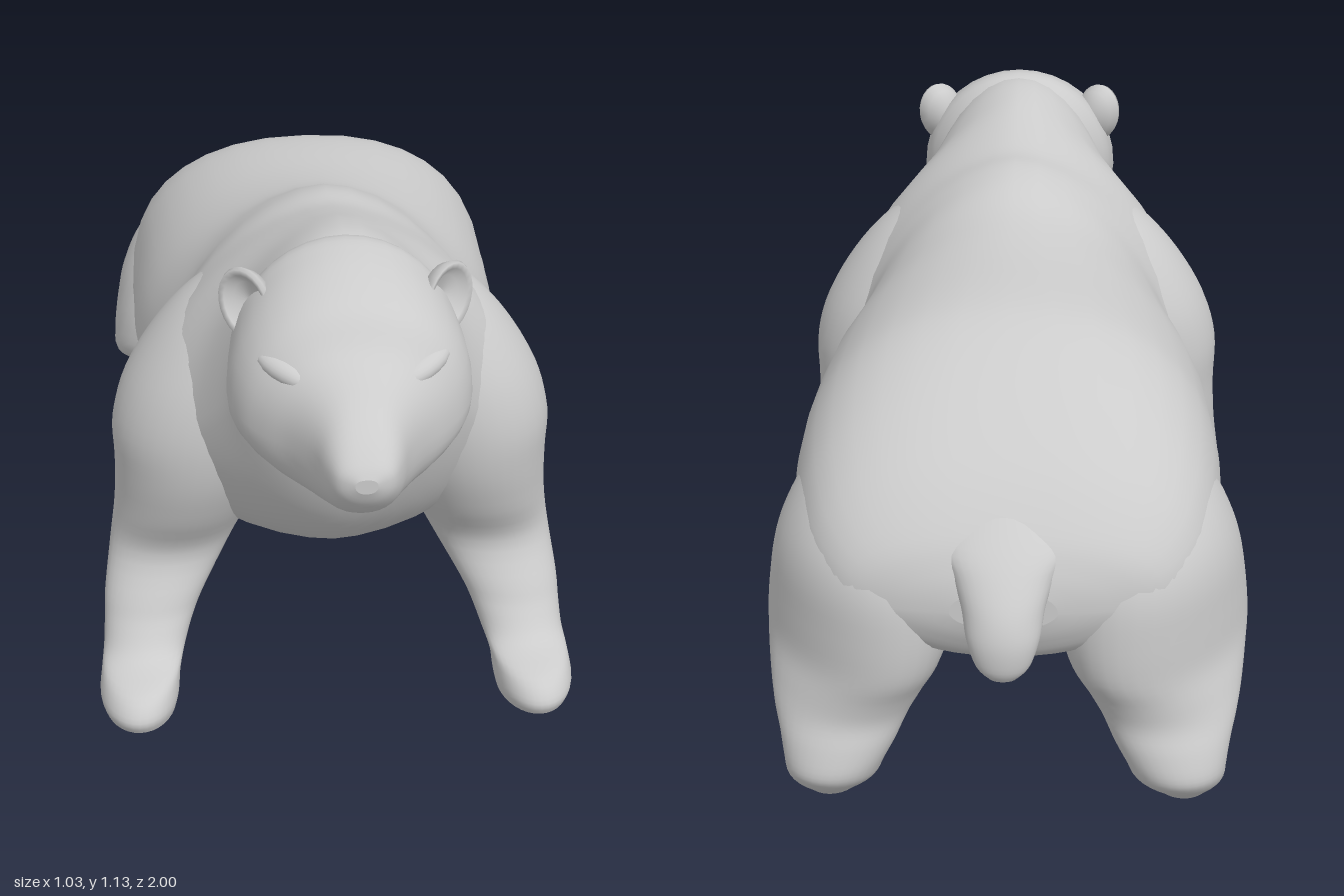
import * as THREE from 'three';

const material = new THREE.MeshStandardMaterial({ color: 0xcccccc });
const SIDES = 36, STEPS = 4;

function addMesh(parent, name, geometry) {
  const mesh = new THREE.Mesh(geometry, material);
  mesh.name = name;
  parent.add(mesh);
  return mesh;
}

// Smooth curve through rows of numbers, component by component.
function smoothRows(rows) {
  const out = [];
  const last = rows.length - 1;
  for (let i = 0; i < last; i++) {
    const a = rows[Math.max(i - 1, 0)], b = rows[i], c = rows[i + 1], d = rows[Math.min(i + 2, last)];
    for (let k = 0; k < STEPS; k++) {
      const t = k / STEPS;
      out.push(b.map((v, n) => v + 0.5 * t * (c[n] - a[n]
        + t * (2 * a[n] - 5 * v + 4 * c[n] - d[n] + t * (3 * (v - c[n]) + d[n] - a[n])))));
    }
  }
  out.push(rows[last]);
  return out;
}

// Skin over cross-sections; ring(row, cos, sin) gives a point. Flat caps close the ends.
function loft(rows, ring) {
  const sections = smoothRows(rows);
  const pos = [], index = [];
  const pushRing = (row) => {
    const start = pos.length / 3;
    for (let j = 0; j < SIDES; j++) {
      const a = (j / SIDES) * Math.PI * 2;
      pos.push(...ring(row, Math.cos(a), Math.sin(a)));
    }
    return start;
  };
  sections.forEach(pushRing);
  for (let i = 0; i < sections.length - 1; i++) {
    for (let j = 0; j < SIDES; j++) {
      const a = i * SIDES + j, b = i * SIDES + (j + 1) % SIDES;
      index.push(a, b, b + SIDES, a, b + SIDES, a + SIDES);
    }
  }
  [[sections[0], true], [sections[sections.length - 1], false]].forEach(([row, flip]) => {
    const s = pushRing(row);
    for (let j = 1; j < SIDES - 1; j++) {
      if (flip) index.push(s, s + j + 1, s + j);
      else index.push(s, s + j, s + j + 1);
    }
  });
  const g = new THREE.BufferGeometry();
  g.setAttribute('position', new THREE.Float32BufferAttribute(pos, 3));
  g.setIndex(index);
  g.computeVertexNormals();
  return g;
}

// Upright section: [z, yBottom, yTop, halfWidth, yWidest, upper power]; below 1 is boxier, above 1 is peaked
const uprightRing = (lowerPower) => ([z, y0, y1, w, ym, upperPower], c, s) => {
  const p = s > 0 ? upperPower : lowerPower;
  const h = s > 0 ? y1 - ym : ym - y0;
  return [w * Math.sign(c) * Math.abs(c) ** p, ym + h * Math.sign(s) * Math.abs(s) ** p, z];
};

// Level section: [y, zBack, zFront, xInner, xOuter, outward skew of the front], mirrored by side
const levelRing = (side) => ([y, z0, z1, xi, xo, skew], c, s) =>
  [side * ((xi + xo) / 2 - skew * s) + c * (xo - xi) / 2, y, (z0 + z1) / 2 - s * (z1 - z0) / 2];

const TORSO = [
  [-0.918, 0.49, 0.575, 0.10, 0.53, 0.9], [-0.905, 0.455, 0.615, 0.20, 0.53, 0.85],
  [-0.875, 0.41, 0.672, 0.30, 0.53, 0.8], [-0.80, 0.37, 0.757, 0.37, 0.53, 0.79],
  [-0.70, 0.33, 0.833, 0.405, 0.54, 0.8], [-0.60, 0.30, 0.892, 0.42, 0.55, 0.83],
  [-0.50, 0.28, 0.935, 0.425, 0.56, 0.87], [-0.40, 0.265, 0.955, 0.422, 0.57, 0.92],
  [-0.20, 0.23, 0.97, 0.415, 0.57, 1.02], [-0.05, 0.22, 0.995, 0.385, 0.57, 1.08],
  [0.05, 0.222, 1.035, 0.365, 0.57, 1.12], [0.12, 0.233, 1.052, 0.38, 0.58, 1.15],
  [0.20, 0.26, 1.055, 0.41, 0.59, 1.18], [0.30, 0.31, 1.08, 0.395, 0.62, 1.2],
  [0.40, 0.38, 1.11, 0.30, 0.67, 1.15], [0.48, 0.47, 1.125, 0.235, 0.75, 1.05],
  [0.535, 0.58, 1.125, 0.20, 0.82, 1], [0.56, 0.68, 1.115, 0.17, 0.88, 1],
  [0.57, 0.76, 1.10, 0.13, 0.92, 1],
];

const HEAD = [
  [0.45, 0.84, 1.07, 0.12, 0.94, 1], [0.53, 0.76, 1.128, 0.205, 0.92, 1],
  [0.60, 0.74, 1.125, 0.226, 0.89, 1], [0.68, 0.735, 1.10, 0.23, 0.87, 0.97],
  [0.74, 0.732, 1.068, 0.21, 0.86, 0.92], [0.79, 0.728, 1.015, 0.172, 0.85, 0.9],
  [0.84, 0.732, 0.985, 0.128, 0.85, 0.9], [0.90, 0.747, 0.958, 0.09, 0.85, 0.85],
  [0.95, 0.775, 0.925, 0.07, 0.85, 0.8], [0.985, 0.812, 0.892, 0.05, 0.855, 0.8],
  [1.0, 0.842, 0.87, 0.02, 0.857, 0.8],
];

const FRONT_LEG = [
  [0, 0.30, 0.545, 0.35, 0.505, 0], [0.03, 0.28, 0.555, 0.343, 0.513, 0],
  [0.07, 0.262, 0.52, 0.338, 0.508, 0], [0.10, 0.25, 0.43, 0.325, 0.503, 0],
  [0.15, 0.225, 0.385, 0.305, 0.50, 0], [0.20, 0.20, 0.36, 0.28, 0.497, 0],
  [0.30, 0.14, 0.325, 0.22, 0.482, 0], [0.40, 0.08, 0.37, 0.17, 0.468, 0],
  [0.50, 0.06, 0.405, 0.13, 0.463, 0], [0.60, 0.05, 0.42, 0.10, 0.463, 0],
  [0.70, 0.05, 0.415, 0.08, 0.434, 0], [0.80, 0.07, 0.395, 0.05, 0.375, 0],
  [0.88, 0.10, 0.37, 0.03, 0.305, 0], [0.94, 0.14, 0.34, 0.03, 0.22, 0],
];

const HIND_LEG = [
  [0, -0.75, -0.56, 0.29, 0.425, 0], [0.03, -0.785, -0.55, 0.275, 0.435, 0],
  [0.06, -0.825, -0.58, 0.265, 0.437, 0], [0.09, -0.865, -0.655, 0.255, 0.435, 0],
  [0.12, -0.897, -0.71, 0.245, 0.432, 0], [0.15, -0.91, -0.725, 0.235, 0.432, 0],
  [0.20, -0.90, -0.718, 0.21, 0.44, 0.01], [0.25, -0.885, -0.68, 0.19, 0.452, 0.03],
  [0.30, -0.89, -0.59, 0.165, 0.46, 0.05], [0.36, -0.905, -0.49, 0.14, 0.463, 0.075],
  [0.44, -0.91, -0.46, 0.11, 0.46, 0.07], [0.53, -0.905, -0.455, 0.09, 0.45, 0.055],
  [0.60, -0.88, -0.455, 0.08, 0.43, 0.04], [0.67, -0.825, -0.465, 0.07, 0.395, 0.025],
  [0.73, -0.76, -0.49, 0.07, 0.345, 0.01], [0.78, -0.69, -0.53, 0.07, 0.27, 0],
];

const TAIL = [
  [0.425, -0.985, -0.955, -0.025, 0.025, 0], [0.45, -0.998, -0.93, -0.05, 0.05, 0],
  [0.50, -1.0, -0.90, -0.068, 0.068, 0], [0.55, -0.985, -0.85, -0.078, 0.078, 0],
  [0.60, -0.953, -0.80, -0.098, 0.098, 0], [0.65, -0.908, -0.76, -0.125, 0.125, 0],
  [0.71, -0.84, -0.72, -0.09, 0.09, 0],
];

// Cupped ear: a thick bowl opening along its own axis
function earGeometry() {
  const profile = [[0, -0.045], [0.03, -0.04], [0.052, -0.02], [0.061, 0.003], [0.058, 0.012],
    [0.048, 0.008], [0.035, -0.008], [0, -0.018]].map(([r, y]) => new THREE.Vector2(r, y));
  const g = new THREE.LatheGeometry(profile, 24);
  g.rotateX(Math.PI / 2);
  g.scale(0.92, 1.2, 1);
  return g;
}

export function createModel() {
  const bear = new THREE.Group();
  bear.name = 'bear';
  addMesh(bear, 'torso', loft(TORSO, uprightRing(1.15)));
  addMesh(bear, 'tail', loft(TAIL, levelRing(1)));

  const head = new THREE.Group();
  head.name = 'head';
  bear.add(head);
  addMesh(head, 'skullAndMuzzle', loft(HEAD, uprightRing(0.9)));

  // Nose pad
  const nose = addMesh(head, 'nose', new THREE.SphereGeometry(1, 16, 10));
  nose.scale.set(0.046, 0.03, 0.035);
  nose.position.set(0, 0.865, 0.961);

  for (const side of [1, -1]) {
    const label = side > 0 ? 'left' : 'right';
    addMesh(bear, label + 'FrontLeg', loft(FRONT_LEG, levelRing(side)));
    addMesh(bear, label + 'HindLeg', loft(HIND_LEG, levelRing(side)));

    const ear = addMesh(head, label + 'Ear', earGeometry());
    ear.position.set(side * 0.188, 1.022, 0.595);
    ear.rotation.set(-0.1, side * 0.6, side * -0.3);

    // Narrow eye under a slanted brow
    const eye = addMesh(head, label + 'Eye', new THREE.SphereGeometry(1, 14, 8));
    eye.scale.set(0.026, 0.007, 0.012);
    eye.position.set(side * 0.13, 0.94, 0.79);
    eye.rotation.set(0, side * 0.75, side * 0.2);
    const brow = addMesh(head, label + 'Brow', new THREE.SphereGeometry(1, 18, 12));
    brow.scale.set(0.07, 0.024, 0.03);
    brow.position.set(side * 0.124, 0.967, 0.765);
    brow.rotation.set(0, side * 0.75, side * 0.2);
  }
  return bear;
}
